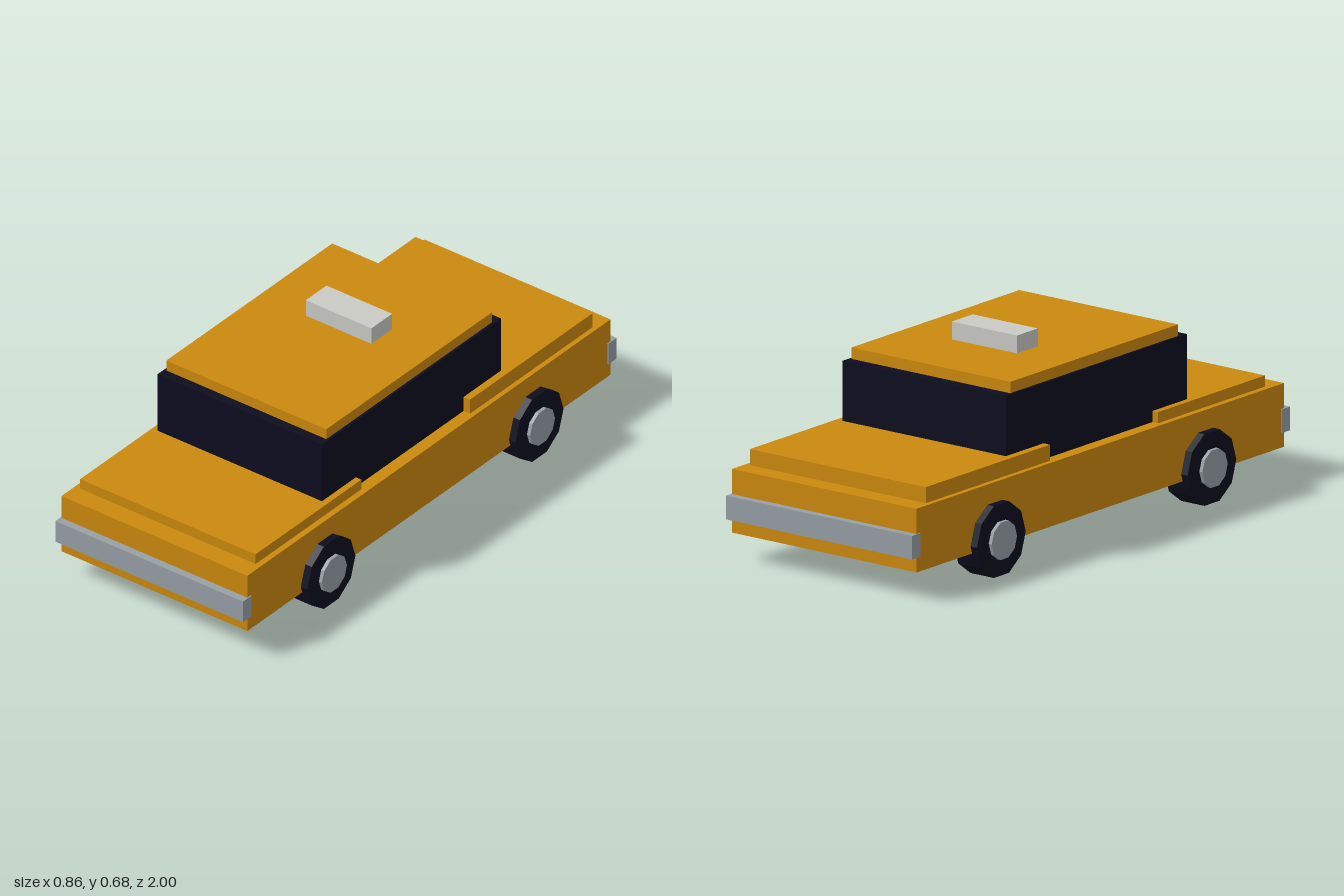
import * as THREE from 'three';

const mat = (name, color) => {
  const m = new THREE.MeshStandardMaterial({ color });
  m.name = name;
  return m;
};

export function createModel() {
  const car = new THREE.Group();
  car.name = 'taxi';

  const paint = mat('amber paint', 0xcc890e);
  const dark = mat('dark glass and rubber', 0x0d0d20);
  const metal = mat('grey metal', 0x97a0a6);
  const lamp = mat('pale sign', 0xcacac5);

  // Box centred on x, given its half width and its y and z ranges
  const box = (name, material, halfX, y0, y1, z0, z1) => {
    const mesh = new THREE.Mesh(new THREE.BoxGeometry(halfX * 2, y1 - y0, z1 - z0), material);
    mesh.name = name;
    mesh.position.set(0, (y0 + y1) / 2, (z0 + z1) / 2);
    car.add(mesh);
  };

  // Body
  box('lowerBody', paint, 0.388, 0.097, 0.315, -0.972, 0.972);
  box('hood', paint, 0.366, 0.305, 0.353, 0.333, 0.9);
  box('trunk', paint, 0.37, 0.305, 0.37, -0.9, -0.243);

  // Cabin, roof and roof sign
  box('cabinGlass', dark, 0.343, 0.305, 0.576, -0.443, 0.515);
  box('roof', paint, 0.334, 0.576, 0.615, -0.408, 0.48);
  box('roofSign', lamp, 0.137, 0.615, 0.676, -0.125, -0.014);

  // Bumpers
  box('frontBumper', metal, 0.392, 0.148, 0.229, 0.955, 1);
  box('rearBumper', metal, 0.392, 0.148, 0.229, -1, -0.955);

  // Ten-sided wheels with raised hubs, lying along x
  const disc = (radius, width) => new THREE.CylinderGeometry(radius, radius, width, 10).rotateZ(Math.PI / 2);
  const tyreGeo = disc(0.129, 0.098).toNonIndexed();
  const hubGeo = disc(0.067, 0.06).toNonIndexed();
  tyreGeo.computeVertexNormals();
  hubGeo.computeVertexNormals();
  for (const side of [1, -1]) {
    for (const end of [1, -1]) {
      const wheel = new THREE.Group();
      wheel.name = (end > 0 ? 'front' : 'rear') + (side > 0 ? 'Left' : 'Right') + 'Wheel';
      const tyre = new THREE.Mesh(tyreGeo, dark);
      tyre.name = 'tyre';
      const hub = new THREE.Mesh(hubGeo, metal);
      hub.name = 'hub';
      hub.position.x = side * 0.032;
      wheel.add(tyre, hub);
      wheel.position.set(side * 0.366, 0.1227, end * 0.557);
      car.add(wheel);
    }
  }
  return car;
}
